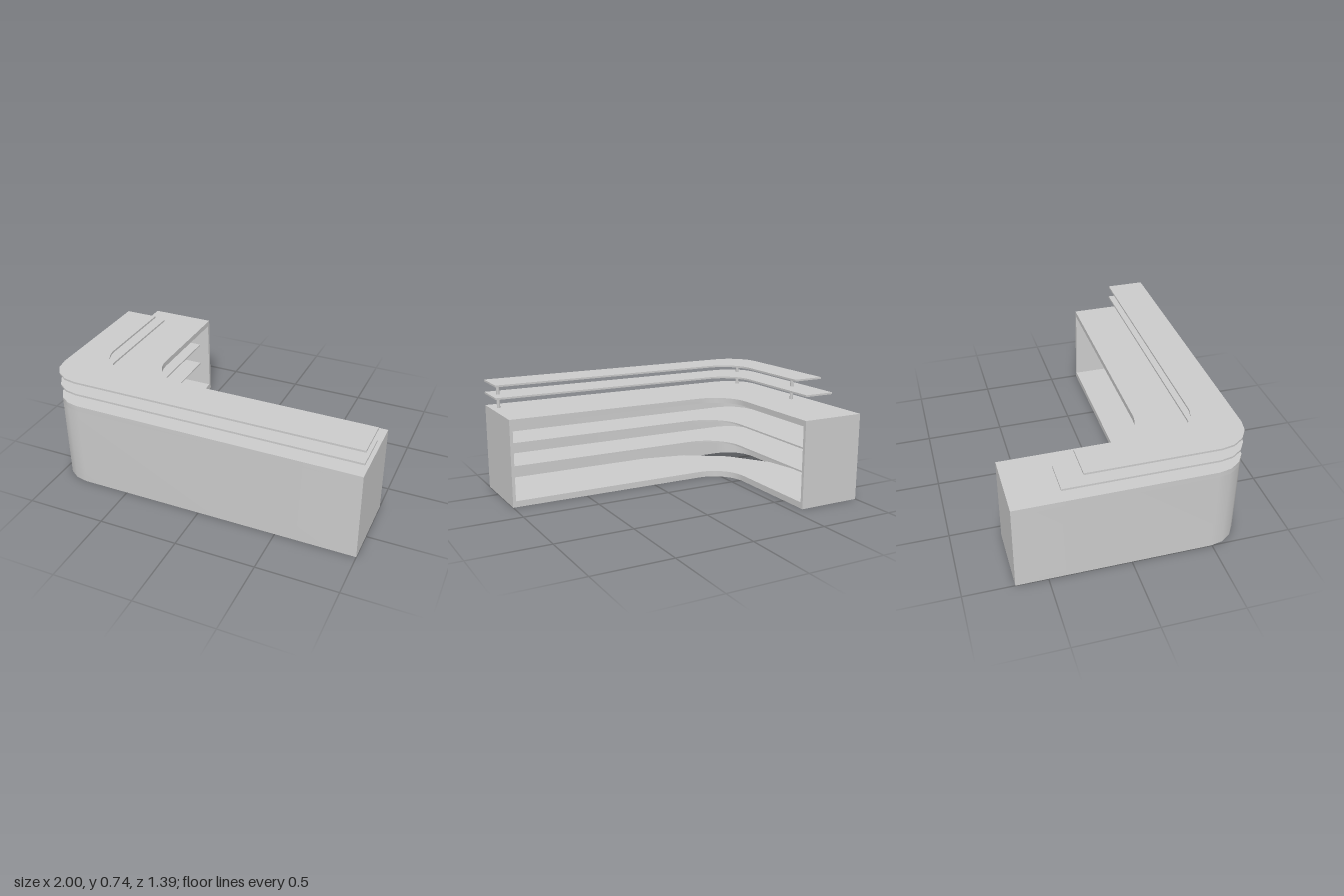
import * as THREE from 'three';
import { toCreasedNormals } from 'three/addons/utils/BufferGeometryUtils.js';

const material = new THREE.MeshStandardMaterial({ color: 0xcccccc, side: THREE.DoubleSide });
const Z = 0.694; // half depth
const H = 0.565; // worktop height

// Outer corner in four straight facets, from the right side to the front
function outerCorner(x0, zFront, r) {
  return Array.from({ length: 5 }, (_, i) => {
    const a = Math.PI * (1 + i / 8);
    return new THREE.Vector2(x0 + r + r * Math.cos(a), -zFront + r + r * Math.sin(a));
  });
}

// L-shaped plan with rounded corners; plan y is -z
function lPlan({ x0 = -1, x1 = 1, zFront = Z, zBack = -Z, xIn, zIn, rOut = 0.2, rIn }) {
  const s = new THREE.Shape();
  s.moveTo(x1, -zFront);
  s.lineTo(x1, -zIn);
  s.lineTo(xIn + rIn, -zIn);
  s.absarc(xIn + rIn, -zIn + rIn, rIn, -Math.PI / 2, -Math.PI, true);
  s.lineTo(xIn, -zBack);
  s.lineTo(x0, -zBack);
  for (const p of outerCorner(x0, zFront, rOut)) s.lineTo(p.x, p.y);
  s.closePath();
  return s;
}

// Horizontal slab from a plan, between two heights
function slab(name, shape, y0, y1) {
  const g = new THREE.ExtrudeGeometry(shape, { depth: y1 - y0, bevelEnabled: false, curveSegments: 6 });
  g.rotateX(-Math.PI / 2);
  g.translate(0, y0, 0);
  const mesh = new THREE.Mesh(toCreasedNormals(g, 0.6), material);
  mesh.name = name;
  return mesh;
}

function box(name, xa, xb, ya, yb, za, zb) {
  const mesh = new THREE.Mesh(new THREE.BoxGeometry(xb - xa, yb - ya, zb - za), material);
  mesh.position.set((xa + xb) / 2, (ya + yb) / 2, (za + zb) / 2);
  mesh.name = name;
  return mesh;
}

export function createModel() {
  const model = new THREE.Group();
  model.name = 'receptionCounter';

  // Worktop and base; the base corner is cut with a broad curve
  const body = { xIn: -0.575, zIn: 0.195, rIn: 0.22 };
  model.add(slab('worktop', lPlan(body), 0.53, H));
  model.add(slab('base', lPlan({ ...body, rOut: 0.85 }), 0, 0.04));

  // Thin outer wall following the front and the right side
  const t = 0.005, r = 0.2;
  const wall = new THREE.Shape();
  wall.moveTo(1, -Z);
  wall.lineTo(1, -Z + t);
  for (const p of outerCorner(-1 + t, Z - t, r - t).reverse()) wall.lineTo(p.x, p.y);
  wall.lineTo(-1 + t, Z);
  wall.lineTo(-1, Z);
  for (const p of outerCorner(-1, Z, r)) wall.lineTo(p.x, p.y);
  wall.closePath();
  model.add(slab('outerWall', wall, 0, 0.53));

  // End panels
  model.add(box('leftEndPanel', 0.98, 1, 0, H, 0.195, Z));
  model.add(box('backEndPanel', -1, -0.575, 0, H, -Z, -0.673));

  // Inner shelves, set back from the opening
  for (const y of [0.2, 0.354]) {
    const plan = lPlan({
      x0: -1 + t, x1: 0.98, zFront: Z - t, zBack: -0.673,
      xIn: -0.645, zIn: 0.385, rIn: 0.25, rOut: r - t,
    });
    model.add(slab('innerShelf', plan, y, y + 0.011));
  }

  // Raised ledges above the worktop
  for (const [y, zBack] of [[0.642, -0.415], [0.724, -0.292]]) {
    const plan = lPlan({ xIn: -0.79, zIn: 0.45, rIn: 0.2, zBack });
    model.add(slab('raisedLedge', plan, y, y + 0.012));
  }

  // Posts carrying the ledges
  for (const [x, z] of [[0.947, 0.573], [-0.89, 0.554], [-0.898, -0.112]]) {
    const post = new THREE.Mesh(new THREE.CylinderGeometry(0.011, 0.011, 0.16, 16), material);
    post.position.set(x, H + 0.08, z);
    post.name = 'ledgePost';
    model.add(post);
  }
  return model;
}
